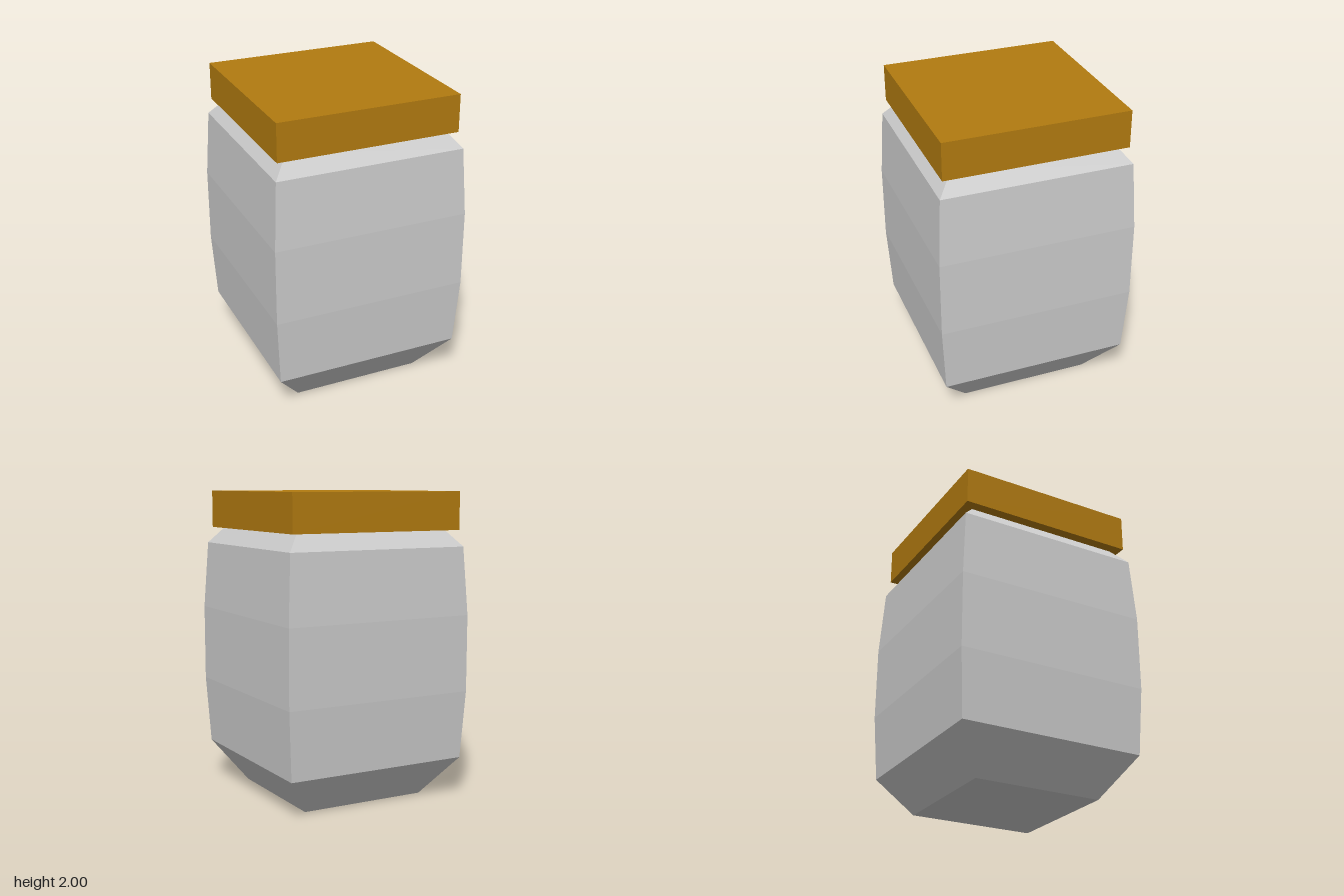
import * as THREE from 'three';

// Four-sided lathe: profile of [half width, height] from bottom to top
function squareLathe(profile) {
  const points = profile.map(([half, y]) => new THREE.Vector2(half * Math.SQRT2, y));
  const geometry = new THREE.LatheGeometry(points, 4, Math.PI / 4).toNonIndexed();
  geometry.computeVertexNormals();
  return geometry;
}

export function createModel() {
  const model = new THREE.Group();
  model.name = 'squareJar';

  // Bulging body with tapered base and shoulder; the neck ends inside the lid
  const body = new THREE.Mesh(
    squareLathe([
      [0, 0], [0.428, 0], [0.62, 0.265], [0.645, 0.71],
      [0.645, 1.21], [0.62, 1.65], [0.52, 1.77], [0, 1.77],
    ]),
    new THREE.MeshStandardMaterial({ color: 0xcccccc, flatShading: true }),
  );
  body.name = 'body';
  model.add(body);

  // Flat square lid overhanging the neck
  const lid = new THREE.Mesh(
    new THREE.BoxGeometry(1.195, 0.245, 1.195),
    new THREE.MeshStandardMaterial({ color: 0xb27b10, flatShading: true }),
  );
  lid.name = 'lid';
  lid.position.set(-0.003, 1.8775, -0.003);
  model.add(lid);

  return model;
}
